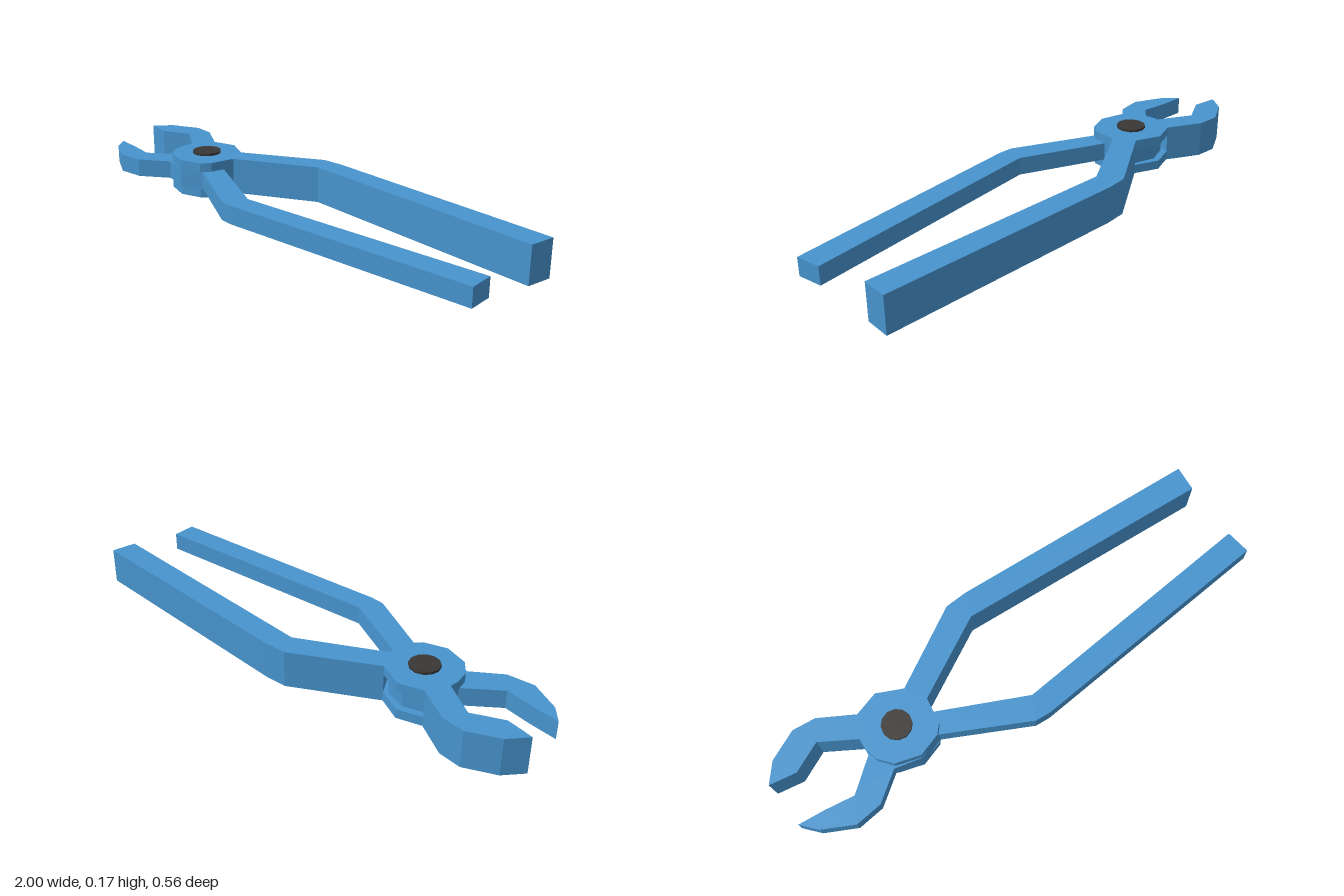
import * as THREE from 'three';

const blue = new THREE.MeshStandardMaterial({ color: 0x4794ce });
blue.name = 'blue steel';
const dark = new THREE.MeshStandardMaterial({ color: 0x3a3836 });
dark.name = 'dark pin';

// Flat plate from an [x, z] outline, filling the heights bottom..top
function plate(name, outline, bottom, top) {
  const shape = new THREE.Shape(outline.map(([x, z]) => new THREE.Vector2(x, z)));
  const geo = new THREE.ExtrudeGeometry(shape, { depth: top - bottom, bevelEnabled: false });
  geo.rotateX(Math.PI / 2).translate(0, top, 0);
  const mesh = new THREE.Mesh(geo, blue);
  mesh.name = name;
  return mesh;
}

export function createModel() {
  const model = new THREE.Group();
  model.name = 'pliers';
  const low = 0.01, high = 0.155, slotLow = 0.047, slotHigh = 0.119;

  // Thick rear half: solid jaw and handle joined by a forked hub
  const rear = new THREE.Group();
  rear.name = 'rearHalf';
  rear.add(plate('rearJaw', [
    [-0.602, -0.148], [-0.73, -0.232], [-0.82, -0.246], [-0.938, -0.198], [-1, -0.131],
    [-0.896, -0.107], [-0.778, -0.155], [-0.65, -0.067],
  ], low, high));
  rear.add(plate('rearHandle', [
    [-0.409, -0.12], [-0.088, -0.282], [0, -0.282], [1, -0.174], [0.982, -0.073],
    [-0.042, -0.191], [-0.367, -0.037],
  ], low, high));
  const hub = [
    [-0.602, -0.148], [-0.505, -0.172], [-0.409, -0.12], [-0.367, -0.037], [-0.388, 0.063],
    [-0.42, 0.096], [-0.51, 0.12], [-0.605, 0.085], [-0.645, 0.03], [-0.655, -0.03], [-0.65, -0.067],
  ];
  rear.add(plate('upperHubPlate', hub, slotHigh, high));
  rear.add(plate('lowerHubPlate', hub, low, slotLow));
  model.add(rear);

  // Thin front half: jaw, hub tongue and handle in one piece
  model.add(plate('frontHalf', [
    [-1, 0.04], [-0.952, 0.102], [-0.837, 0.17], [-0.73, 0.164], [-0.615, 0.09],
    [-0.51, 0.122], [-0.412, 0.09], [-0.1, 0.272], [-0.042, 0.28], [0.982, 0.255], [0.977, 0.155],
    [-0.05, 0.186], [-0.375, 0.008], [-0.375, -0.037], [-0.425, -0.11], [-0.51, -0.145],
    [-0.6, -0.12], [-0.645, -0.05], [-0.65, -0.015], [-0.783, 0.08], [-0.896, 0.056],
  ], slotLow, slotHigh));

  // Pivot pin through the hub
  const pinGeo = new THREE.CylinderGeometry(0.058, 0.058, 0.165, 12).toNonIndexed();
  pinGeo.computeVertexNormals();
  const pin = new THREE.Mesh(pinGeo, dark);
  pin.name = 'pivotPin';
  pin.position.set(-0.513, 0.0825, -0.025);
  model.add(pin);

  return model;
}
